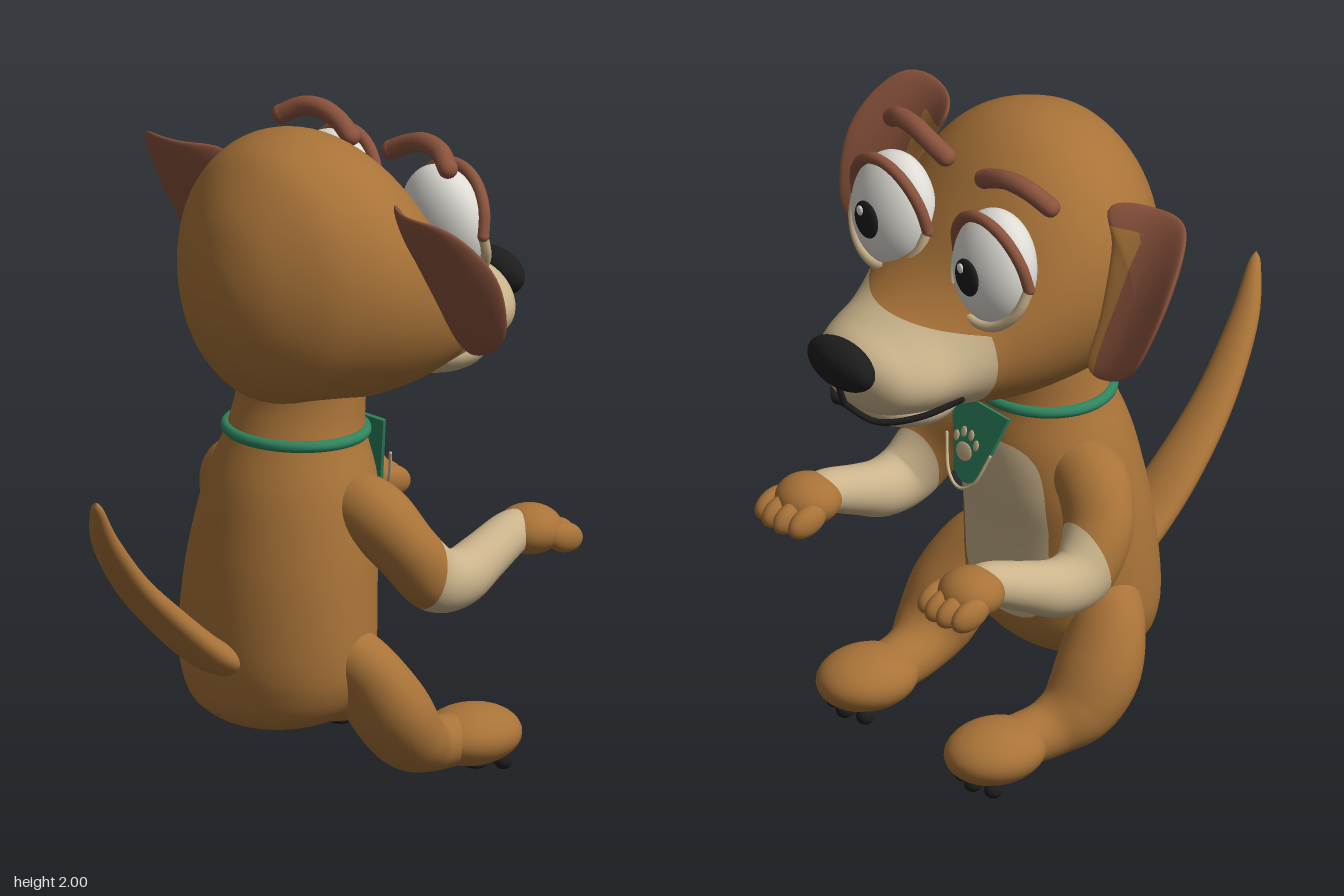
import * as THREE from 'three';

const V = (x, y, z) => new THREE.Vector3(x, y, z);
const spline = (pts, closed = false) => new THREE.CatmullRomCurve3(pts, closed, 'catmullrom', 0.5);

// Smooth skin over a list of closed rings of equal length
function loft(rings) {
  const n = rings[0].length, pos = [], idx = [];
  rings.forEach(r => r.forEach(p => pos.push(p.x, p.y, p.z)));
  for (let i = 0; i < rings.length - 1; i++) for (let j = 0; j < n; j++) {
    const a = i * n + j, b = i * n + (j + 1) % n;
    idx.push(a, b, a + n, b, b + n, a + n);
  }
  const g = new THREE.BufferGeometry();
  g.setAttribute('position', new THREE.Float32BufferAttribute(pos, 3));
  g.setIndex(idx);
  g.computeVertexNormals();
  return g;
}

// Tapered elliptical limb; each station is [x, y, z, radius across, radius deep]
function limb(stations, axis = null, steps = 40, sides = 40) {
  const path = spline(stations.map(s => V(s[0], s[1], s[2])));
  const size = spline(stations.map(s => V(s[3], s[4], 0)));
  const rings = [];
  for (let i = 0; i <= steps; i++) {
    const t = i / steps, c = path.getPoint(t), r = size.getPoint(t);
    const T = axis || path.getTangent(t);
    const S = V(1, 0, 0).addScaledVector(T, -T.x).normalize();
    const U = T.clone().cross(S);
    rings.push(Array.from({ length: sides }, (_, j) => {
      const a = j / sides * Math.PI * 2;
      return c.clone().addScaledVector(S, Math.cos(a) * Math.max(r.x, 0))
        .addScaledVector(U, Math.sin(a) * Math.max(r.y, 0));
    }));
  }
  return loft(rings);
}

// Cut a geometry along f = 0: group 0 where f < 0, group 1 where f > 0
function split(geo, f) {
  const P = geo.attributes.position, N = geo.attributes.normal, I = geo.index.array;
  const pos = [], nor = [], out = new THREE.BufferGeometry();
  for (const side of [-1, 1]) {
    const start = pos.length / 3;
    for (let k = 0; k < I.length; k += 3) {
      const tri = [0, 1, 2].map(m => {
        const p = V().fromBufferAttribute(P, I[k + m]), n = V().fromBufferAttribute(N, I[k + m]);
        return { p, n, d: side * f(p, n) };
      });
      const poly = [];
      tri.forEach((a, m) => {
        const b = tri[(m + 1) % 3];
        if (a.d >= 0) poly.push(a);
        if ((a.d >= 0) !== (b.d >= 0)) {
          const t = a.d / (a.d - b.d);
          poly.push({ p: a.p.clone().lerp(b.p, t), n: a.n.clone().lerp(b.n, t).normalize() });
        }
      });
      for (let m = 1; m < poly.length - 1; m++) for (const v of [poly[0], poly[m], poly[m + 1]]) {
        pos.push(...v.p.toArray());
        nor.push(...v.n.toArray());
      }
    }
    out.addGroup(start, pos.length / 3 - start, side < 0 ? 0 : 1);
  }
  out.setAttribute('position', new THREE.Float32BufferAttribute(pos, 3));
  out.setAttribute('normal', new THREE.Float32BufferAttribute(nor, 3));
  return out;
}

export function createModel() {
  const root = new THREE.Group();
  root.name = 'sittingDog';
  const mat = (name, color) => Object.assign(new THREE.MeshStandardMaterial({ color }), { name });
  const brown = mat('brownFur', 0xa97338), tan = mat('tanFur', 0xcbb48c), rust = mat('rustFur', 0x8b533d);
  const black = mat('black', 0x1d1d1d), white = mat('eyeWhite', 0xdedcd5), green = mat('green', 0x2f8560);

  const add = (name, geo, m, parent = root) => {
    const mesh = new THREE.Mesh(geo, m);
    mesh.name = name;
    parent.add(mesh);
    return mesh;
  };
  const ball = (name, m, p, r, parent = root) => {
    const mesh = add(name, new THREE.SphereGeometry(1, 32, 24), m, parent);
    mesh.position.set(...p);
    mesh.scale.set(...r);
    return mesh;
  };
  const tube = (name, m, pts, r, parent = root) => {
    const mesh = add(name, new THREE.TubeGeometry(spline(pts.map(p => V(...p))), 32, r, 10), m, parent);
    for (const p of [pts[0], pts[pts.length - 1]]) ball(name + 'End', m, p, [r, r, r], parent);
    return mesh;
  };

  // Body with a tan belly patch: [y, z, half width, half depth]
  const body = [[.2, .04, 0, 0], [.212, .04, .14, .12], [.26, .03, .26, .2], [.34, .01, .32, .243],
    [.45, .005, .335, .255], [.65, -.01, .32, .255], [.8, -.035, .3, .255], [.95, -.055, .265, .24],
    [1.09, -.07, .215, .2], [1.2, -.09, .2, .185], [1.3, -.09, .2, .18]].map(([y, z, a, b]) => [0, y, z, a, b]);
  add('body', split(limb(body, V(0, 1, 0), 60, 64),
    p => Math.min(-p.z - .05, 1 - (p.x / .2) ** 4 - ((p.y - .68) / .3) ** 4)), [brown, tan]);

  // Head and muzzle: [z, top, bottom, half width]
  const head = [[.266, 1.55, 1.55, 0], [.25, 1.67, 1.43, .1], [.2, 1.81, 1.31, .21], [.1, 1.94, 1.21, .335],
    [0, 1.99, 1.185, .4], [-.1, 2, 1.17, .43], [-.2, 1.97, 1.16, .425], [-.3, 1.89, 1.158, .4],
    [-.4, 1.76, 1.17, .36], [-.5, 1.62, 1.195, .31], [-.6, 1.535, 1.215, .27], [-.7, 1.49, 1.225, .24],
    [-.78, 1.465, 1.24, .185], [-.825, 1.43, 1.29, .1], [-.84, 1.37, 1.37, 0]]
    .map(([z, t, b, w]) => [0, (t + b) / 2, z, w, (t - b) / 2]);
  add('head', split(limb(head, V(0, 0, -1), 84, 72), p => -p.z - .5 -
    .15 * Math.max(0, 1 - (p.x / .28) ** 2) * THREE.MathUtils.smoothstep(p.y, 1.35, 1.5)), [brown, tan]);
  ball('lowerJaw', tan, [0, 1.24, -.61], [.18, .085, .165]);
  ball('nose', black, [0, 1.41, -.845], [.14, .077, .06]);
  tube('mouth', black, [[.25, 1.305, -.59], [.195, 1.262, -.7], [.1, 1.236, -.79], [0, 1.27, -.832],
    [-.1, 1.236, -.79], [-.195, 1.262, -.7], [-.25, 1.305, -.59]], .01);
  tube('philtrum', black, [[0, 1.27, -.832], [0, 1.32, -.85], [0, 1.38, -.86]], .01);

  // Tail
  add('tail', limb([[0, .42, .2, .1, .05], [.005, .47, .3, .1, .052], [.02, .6, .46, .09, .05],
    [.06, .76, .64, .072, .043], [.12, .94, .8, .05, .034], [.175, 1.07, .885, .022, .018],
    [.19, 1.105, .905, 0, 0]]), brown);

  for (const s of [1, -1]) {
    const side = new THREE.Group();
    side.name = s > 0 ? 'leftSide' : 'rightSide';
    root.add(side);
    const flip = list => list.map(([x, ...r]) => [s * x, ...r]);

    // Ear: a curved, leaning pillow with a brown inner patch
    const edge = [[.38, 1.85], [.5, 1.865], [.65, 1.855], [.72, 1.76], [.73, 1.63], [.68, 1.47], [.57, 1.395],
      [.48, 1.41], [.46, 1.55], [.42, 1.74]];
    const rim = spline(edge.map(([x, y]) => V(x, y, 0)), true).getPoints(56).slice(0, -1);
    const rings = Array.from({ length: 25 }, (_, i) => {
      const a = i / 24 * Math.PI, k = Math.sin(a);
      const ring = rim.map(p => {
        const x = .57 + (p.x - .57) * k, y = 1.64 + (p.y - 1.64) * k;
        return V(s * x, y, -.04 - (1.86 - y) * .53 - 2.4 * (x - .56) ** 2 + .035 * Math.cos(a));
      });
      return s > 0 ? ring : ring.reverse();
    });
    add('ear', split(loft(rings), (p, n) => Math.min(.51 - Math.abs(p.x), -n.z - .3, 1.8 - p.y)), [rust, brown], side);

    // Eye, lids and brow
    const eye = ball('eyeball', white, [s * .235, 1.7, -.45], [.155, .178, .1], side);
    eye.rotation.x = .15;
    ball('pupil', black, [s * .233, 1.697, -.556], [.052, .06, .014], side);
    ball('eyeGlint', white, [s * .233 + .016, 1.725, -.568], [.014, .016, .006], side);
    const lid = (dir, top, z) => Array.from({ length: 9 }, (_, i) => {
      const a = i / 8 * Math.PI, k = Math.sin(a);
      return [s * .235 + .165 * Math.cos(a), 1.69 + dir * top * k, -.455 + (z + .455) * k];
    });
    tube('upperLid', rust, lid(1, .18, -.495), .018, side);
    tube('lowerLid', tan, lid(-1, .16, -.515), .016, side);
    tube('brow', rust, flip([[.365, 1.915, -.345], [.3, 1.95, -.37], [.22, 1.955, -.38], [.15, 1.935, -.38],
      [.09, 1.905, -.37]]), .03, side);

    // Arm with a tan forearm
    add('arm', split(limb(flip([[.2, .9, -.1, .1, .1], [.3, .865, -.12, .115, .105], [.375, .77, -.17, .11, .095],
      [.405, .675, -.25, .09, .1], [.405, .655, -.35, .085, .09], [.39, .69, -.46, .078, .076],
      [.375, .735, -.58, .07, .066], [.375, .74, -.64, .065, .06]])),
      p => -p.z - .21 - .25 * (p.y - .65)), [brown, tan], side);

    // Hand and fingers
    ball('palm', brown, [s * .378, .735, -.66], [.102, .075, .1], side);
    for (let i = 0; i < 4; i++) {
      const u = i - 1.5, f = ball('finger', brown, [s * .378 + u * .052, .712, -.745 + .008 * u * u], [.035, .046, .07], side);
      f.rotation.x = -.3;
    }

    // Leg, foot and paw pads
    add('leg', limb(flip([[.22, .48, -.02, .09, .09], [.295, .4, -.07, .125, .1], [.335, .28, -.135, .14, .115],
      [.335, .18, -.21, .125, .105], [.315, .13, -.3, .095, .085], [.3, .115, -.4, .085, .08],
      [.3, .115, -.48, .085, .075]])), brown, side);
    ball('foot', brown, [s * .297, .113, -.5], [.138, .09, .162], side);
    ball('heelPad', black, [s * .297, .022, -.51], [.045, .016, .035], side);
    for (const u of [-1, 0, 1])
      ball('toePad', black, [s * .297 + u * .07, .032, -.585 + .02 * u * u], [.026, .026, .028], side);
  }

  // Collar
  const collar = add('collar', new THREE.TorusGeometry(.21, .018, 12, 64), green);
  collar.rotation.x = Math.PI / 2;
  collar.position.set(0, 1.09, -.07);
  collar.scale.set(1.03, .94, 1);

  // Neckerchief with a paw print and trim
  const scarf = new THREE.Group();
  scarf.name = 'neckerchief';
  scarf.position.set(0, 1.09, -.312);
  scarf.rotation.x = .26;
  root.add(scarf);
  const shape = new THREE.Shape();
  shape.moveTo(-.13, 0);
  shape.lineTo(.13, 0);
  shape.lineTo(.055, -.22);
  shape.quadraticCurveTo(0, -.28, -.055, -.22);
  shape.closePath();
  add('cloth', new THREE.ExtrudeGeometry(shape, { depth: .012, bevelEnabled: false }), green, scarf);
  tube('trim', tan, [[.1, -.13, -.012], [.06, -.23, -.014], [0, -.265, -.016], [-.06, -.23, -.014],
    [-.1, -.13, -.012]], .005, scarf);
  ball('printPad', tan, [0, -.15, -.025], [.035, .028, .004], scarf);
  for (const [x, y] of [[-.045, -.115], [-.017, -.093], [.017, -.093], [.045, -.115]])
    ball('printToe', tan, [x, y, -.025], [.012, .017, .004], scarf);

  return root;
}
